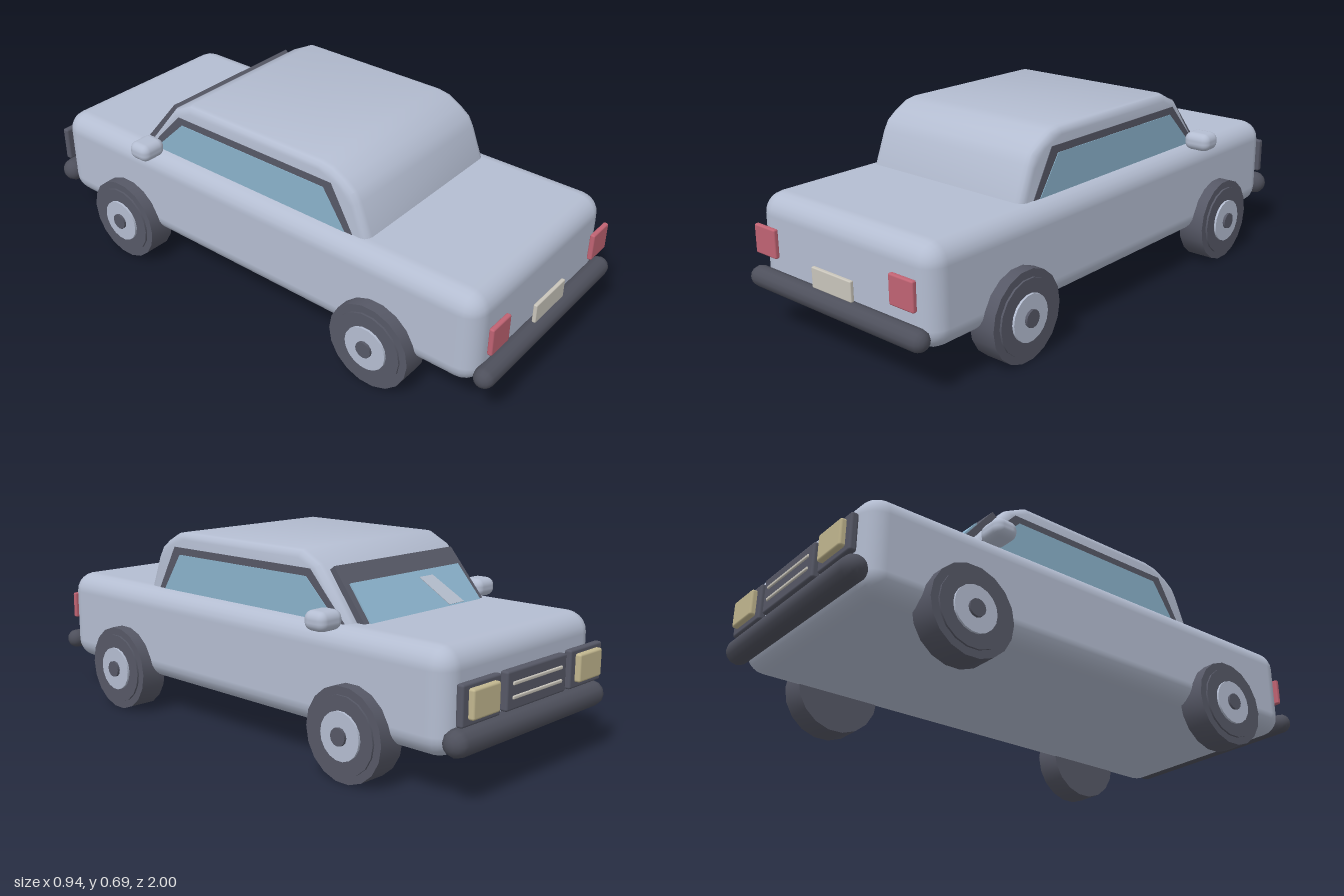
import * as THREE from 'three';
import { toCreasedNormals } from 'three/addons/utils/BufferGeometryUtils.js';
import { RoundedBoxGeometry } from 'three/addons/geometries/RoundedBoxGeometry.js';

const material = (name, color) => Object.assign(new THREE.MeshStandardMaterial({ color }), { name });

export function createModel() {
  const paint = material('silver paint', 0xb4bdd1);
  const dark = material('dark trim', 0x565866);
  const bumperGrey = material('bumper grey', 0x4e505c);
  const glassBlue = material('window glass', 0x8ab2cb);
  const glintGrey = material('glass reflection', 0xbcc6d6);
  const red = material('tail light red', 0xc06373);
  const cream = material('headlight cream', 0xc2b78f);
  const plateGrey = material('number plate', 0xc9c5bb);

  const car = new THREE.Group();
  car.name = 'car';

  const add = (name, geometry, mat, x = 0, y = 0, z = 0, parent = car) => {
    const mesh = new THREE.Mesh(geometry, mat);
    mesh.name = name;
    mesh.position.set(x, y, z);
    parent.add(mesh);
    return mesh;
  };
  const rounded = (w, h, d, r, seg = 3) => new RoundedBoxGeometry(w, h, d, seg, r);
  const polygon = (points) => new THREE.Shape(points.map(([x, y]) => new THREE.Vector2(x, y)));
  const slab = (points, depth) =>
    new THREE.ExtrudeGeometry(polygon(points), { depth, bevelEnabled: false });
  // Profile given as (z, y), extruded along x and centred
  const sideProfile = (points, width, bevel = 0) => {
    const g = new THREE.ExtrudeGeometry(polygon(points.map(([z, y]) => [-z, y])), {
      depth: width - 2 * bevel, bevelEnabled: bevel > 0, bevelThickness: bevel,
      bevelSize: bevel, bevelOffset: -bevel, bevelSegments: 3,
    });
    g.translate(0, 0, bevel - width / 2);
    g.rotateY(Math.PI / 2);
    return toCreasedNormals(g, 0.6);
  };

  // Lower body and cabin
  add('body', rounded(0.806, 0.34, 1.875, 0.072), paint, 0, 0.306, 0.002);
  add('cabin', sideProfile([
    [0.50, 0.42], [0.49, 0.475], [0.445, 0.59], [0.425, 0.625], [0.385, 0.655], [0.335, 0.682],
    [0.29, 0.69], [-0.295, 0.69], [-0.375, 0.65], [-0.52, 0.47], [-0.53, 0.42],
  ], 0.69, 0.028), paint);

  // Side windows: dark surround with glass on top
  for (const side of [1, -1]) {
    const name = side > 0 ? 'left' : 'right';
    add(name + 'WindowFrame', sideProfile([
      [0.43, 0.472], [0.34, 0.633], [-0.345, 0.633], [-0.495, 0.472],
    ], 0.008), dark, side * 0.343);
    add(name + 'WindowGlass', sideProfile([
      [0.40, 0.472], [0.31, 0.607], [-0.328, 0.607], [-0.468, 0.472],
    ], 0.008), glassBlue, side * 0.345);
  }

  // Windscreen, leaning back on the -z end of the cabin
  const windscreen = new THREE.Group();
  windscreen.name = 'windscreen';
  windscreen.position.set(0, 0.472, -0.55);
  windscreen.rotation.set(-0.69, Math.PI, 0, 'YXZ');
  car.add(windscreen);
  add('windscreenFrame', slab([[-0.31, 0], [0.31, 0], [0.303, 0.222], [-0.303, 0.222]], 0.03),
    dark, 0, 0, -0.03, windscreen);
  add('windscreenGlass', slab([[-0.287, 0], [0.287, 0], [0.28, 0.15], [-0.28, 0.15]], 0.006),
    glassBlue, 0, 0, 0, windscreen);
  add('windscreenGlint', slab([[0.115, 0.005], [0.195, 0.005], [0.115, 0.125], [0.045, 0.125]], 0.002),
    glintGrey, 0, 0, 0.006, windscreen);

  // Bumpers
  const bumper = (name, r, halfLength, y, z) => {
    const g = new THREE.CapsuleGeometry(r, 2 * (halfLength - r), 4, 12);
    g.rotateZ(Math.PI / 2);
    add(name, g, bumperGrey, 0, y, z);
  };
  bumper('tailBumper', 0.036, 0.405, 0.196, 0.964);
  bumper('noseBumper', 0.044, 0.41, 0.2, -0.955);

  // Number plate and grille
  add('numberPlate', rounded(0.184, 0.07, 0.014, 0.004, 2), plateGrey, 0, 0.27, 0.968);
  add('grille', rounded(0.326, 0.125, 0.03, 0.008, 2), dark, 0, 0.315, -0.967);
  for (const y of [0.293, 0.337]) {
    add('grilleBar', rounded(0.27, 0.012, 0.01, 0.004, 2), plateGrey, 0, y, -0.982);
  }

  // One cylinder of a wheel, along x, from the inner to the outer distance
  const disc = (name, r, inner, outer, sides, mat, parent) => {
    const g = new THREE.CylinderGeometry(r, r, outer - inner, sides);
    g.rotateZ(Math.PI / 2);
    add(name, toCreasedNormals(g, 0.6), mat, (inner + outer) / 2, 0, 0, parent);
  };

  for (const side of [1, -1]) {
    const name = side > 0 ? 'left' : 'right';
    // Lights and mirrors
    add(name + 'TailLight', rounded(0.103, 0.1, 0.018, 0.006, 2), red, side * 0.317, 0.333, 0.97);
    add(name + 'HeadlightHousing', rounded(0.19, 0.13, 0.026, 0.008, 2), dark, side * 0.285, 0.315, -0.967);
    add(name + 'Headlight', rounded(0.135, 0.094, 0.026, 0.008, 2), cream, side * 0.285, 0.318, -0.986);
    add(name + 'Mirror', rounded(0.104, 0.066, 0.09, 0.028), paint, side * 0.404, 0.493, -0.458);

    // Wheels
    for (const z of [0.575, -0.582]) {
      const wheel = new THREE.Group();
      wheel.name = name + (z < 0 ? 'NoseWheel' : 'TailWheel');
      wheel.position.set(0, 0.156, z);
      wheel.rotation.y = side > 0 ? 0 : Math.PI;
      disc('tyre', 0.156, 0.347, 0.446, 18, dark, wheel);
      disc('tyreWall', 0.129, 0.44, 0.453, 18, dark, wheel);
      disc('rim', 0.08, 0.44, 0.461, 18, paint, wheel);
      disc('hubCap', 0.03, 0.44, 0.47, 12, dark, wheel);
      car.add(wheel);
    }
  }
  return car;
}
